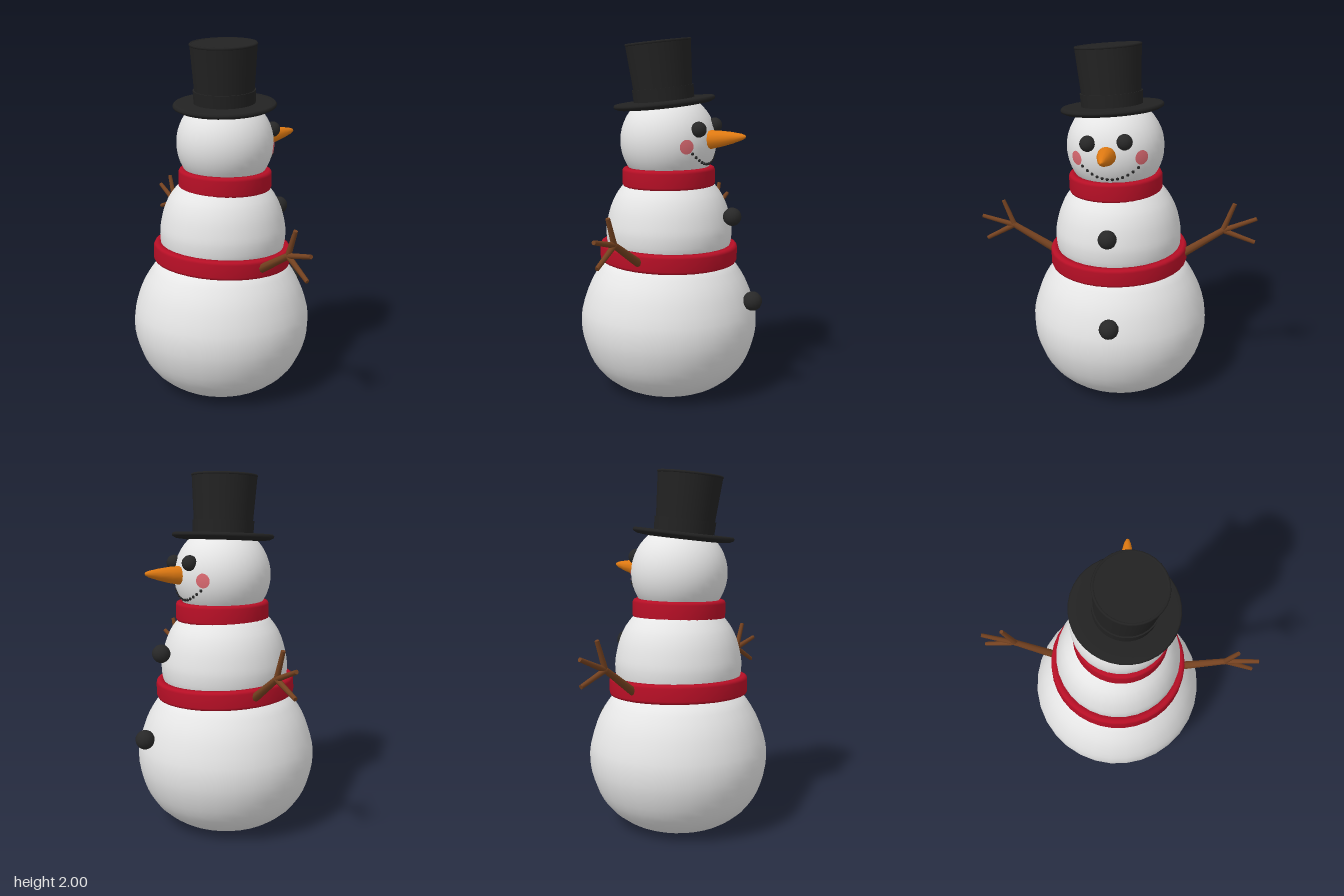
import * as THREE from 'three';

const UP = new THREE.Vector3(0, 1, 0);
const v3 = (a) => new THREE.Vector3(...a);
const mat = (name, color) => {
  const m = new THREE.MeshStandardMaterial({ color });
  m.name = name;
  return m;
};

export function createModel() {
  const snow = mat('snow', 0xe6e6e6);
  const cloth = mat('red cloth', 0xb80f26);
  const felt = mat('black felt', 0x222222);
  const coal = mat('coal', 0x282828);
  const carrot = mat('carrot', 0xe07a12);
  const wood = mat('wood', 0x754220);
  const blush = mat('blush', 0xdc6a72);

  const root = new THREE.Group();
  root.name = 'snowman';

  const add = (name, geometry, material, pos = [0, 0, 0], axis = [0, 1, 0], parent = root) => {
    const mesh = new THREE.Mesh(geometry, material);
    mesh.name = name;
    mesh.position.set(...pos);
    mesh.quaternion.setFromUnitVectors(UP, v3(axis).normalize());
    parent.add(mesh);
    return mesh;
  };
  const pts = (list) => list.map((p) => new THREE.Vector2(...p));
  const smoothLathe = (list, segments = 32) =>
    new THREE.LatheGeometry(new THREE.SplineCurve(pts(list)).getPoints(28), segments);

  // Tapered stick between two points
  const stick = (name, a, b, r0, r1, material, parent, sides = 8) => {
    const from = v3(a), to = v3(b), dir = to.clone().sub(from);
    const geo = new THREE.CylinderGeometry(r1, r0, dir.length(), sides);
    return add(name, geo, material, from.add(to).multiplyScalar(0.5).toArray(), dir.toArray(), parent);
  };

  // Snow balls: flat-bottomed base, middle and head
  add('lowerBody', smoothLathe([
    [0, 0], [0.2, 0.002], [0.27, 0.015], [0.345, 0.06], [0.41, 0.12], [0.46, 0.2], [0.495, 0.3], [0.506, 0.39],
    [0.498, 0.48], [0.46, 0.6], [0.41, 0.69], [0.35, 0.76], [0.2, 0.85], [0, 0.88],
  ]), snow, [-0.033, 0, -0.018]);
  add('middleBody', smoothLathe([
    [0, 0.72], [0.27, 0.75], [0.34, 0.82], [0.358, 0.91], [0.35, 0.99], [0.325, 1.08], [0.28, 1.16], [0.2, 1.23], [0, 1.27],
  ]), snow, [-0.027, 0, -0.01]);
  const headPos = [-0.022, 1.435, 0.006], headR = 0.271;
  add('head', new THREE.SphereGeometry(headR, 32, 24), snow, headPos);

  // Red bands, slightly tilted
  const band = (name, rIn, rOut, h, pos, axis) => {
    const b = 0.018, y = h / 2, m = b * 0.3;
    const profile = pts([
      [rIn, -y], [rOut - b, -y], [rOut - m, -y + m], [rOut, -y + b], [rOut, y - b],
      [rOut - m, y - m], [rOut - b, y], [rIn, y], [rIn, -y],
    ]);
    add(name, new THREE.LatheGeometry(profile, 36), cloth, pos, axis);
  };
  band('waistScarf', 0.325, 0.392, 0.105, [-0.03, 0.803, -0.012], [0.035, 1, 0.026]);
  band('neckScarf', 0.2, 0.262, 0.11, [-0.021, 1.233, 0.005], [0, 1, 0.03]);

  // Top hat, leaning back and to one side
  const hat = new THREE.Group();
  hat.name = 'topHat';
  hat.position.set(-0.036, 1.636, 0.026);
  hat.quaternion.setFromUnitVectors(UP, new THREE.Vector3(-0.075, 1, 0.085).normalize());
  root.add(hat);
  add('hatBrim', new THREE.LatheGeometry(pts([
    [0, -0.012], [0.2, -0.014], [0.26, -0.008], [0.283, 0.004], [0.286, 0.014], [0.278, 0.024], [0.24, 0.022], [0.15, 0.024],
  ]), 36), felt, undefined, undefined, hat);
  add('hatCrown', new THREE.CylinderGeometry(0.183, 0.16, 0.33, 32), felt, [0, 0.18, 0], undefined, hat);
  add('hatTopEdge', new THREE.TorusGeometry(0.178, 0.008, 6, 32).rotateX(Math.PI / 2), felt, [0, 0.341, 0], undefined, hat);
  add('hatBand', new THREE.CylinderGeometry(0.173, 0.17, 0.07, 32), felt, [0, 0.06, 0], undefined, hat);

  // Coal eyes and buttons
  [
    ['leftEye', 0.043, [0.222, 1.52, -0.082]],
    ['rightEye', 0.043, [0.222, 1.503, 0.117]],
    ['upperButton', 0.051, [0.366, 1.023, -0.013]],
    ['lowerButton', 0.054, [0.482, 0.554, -0.04]],
  ].forEach(([name, r, pos]) => add(name, new THREE.SphereGeometry(r, 14, 10), coal, pos));

  // Carrot nose with a rounded tip
  add('carrotNose', new THREE.LatheGeometry(pts([
    [0, 0], [0.05, 0], [0.052, 0.03], [0.045, 0.09], [0.032, 0.16], [0.018, 0.215], [0.009, 0.235], [0, 0.24],
  ]), 12), carrot, [0.21, 1.442, 0.012], [0.24, 0.024, -0.01]);

  // Blushing cheeks: thin caps over the head
  [['leftCheek', -0.168, 1.432], ['rightCheek', 0.182, 1.412]].forEach(([name, z, y]) => {
    const dy = y - headPos[1], dz = z - headPos[2];
    const dx = Math.sqrt(headR ** 2 - dy ** 2 - dz ** 2);
    add(name, new THREE.SphereGeometry(headR + 0.004, 20, 4, 0, Math.PI * 2, 0, 0.145), blush, headPos, [dx, dy, dz]);
  });

  // Smile: a row of small coal dots
  const mouth = new THREE.Group();
  mouth.name = 'mouth';
  root.add(mouth);
  for (let i = 0; i < 12; i++) {
    const z = 0.148 - (i / 11) * 0.3, y = 1.31 + 2.9 * z * z;
    const dy = y - headPos[1], dz = z - headPos[2];
    const x = headPos[0] + Math.sqrt(headR ** 2 - dy ** 2 - dz ** 2);
    add('mouthDot', new THREE.SphereGeometry(0.009, 8, 6), coal, [x, y, z], undefined, mouth);
  }

  // Twig arms: a branch with three fingers, given as [z, y]
  [
    ['rightArm', [0.3, 0.76], [0.605, 0.93], [[0.795, 0.975], [0.665, 1.077], [0.77, 0.838]]],
    ['leftArm', [-0.3, 0.757], [-0.605, 0.97], [[-0.79, 1.05], [-0.665, 1.13], [-0.785, 0.91]]],
  ].forEach(([name, shoulder, wrist, tips]) => {
    const arm = new THREE.Group();
    arm.name = name;
    root.add(arm);
    const at = ([z, y]) => [-0.014, y, z];
    stick('branch', at(shoulder), at(wrist), 0.027, 0.018, wood, arm);
    add('knot', new THREE.SphereGeometry(0.019, 8, 6), wood, at(wrist), undefined, arm);
    tips.forEach((tip) => stick('twig', at(wrist), at(tip), 0.016, 0.012, wood, arm));
  });

  return root;
}
